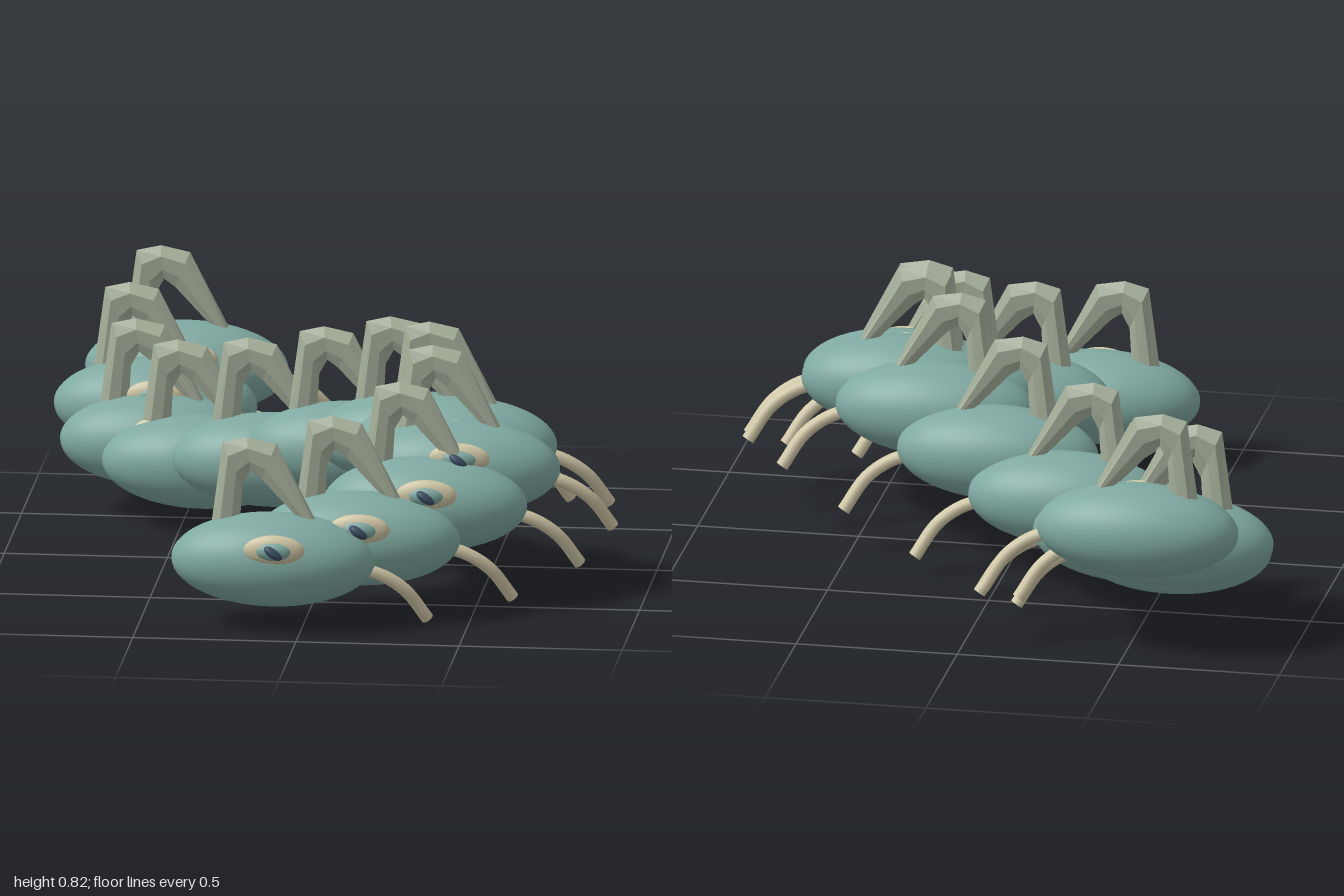
import * as THREE from 'three';

const mat = (name, color, side = THREE.FrontSide) => {
  const m = new THREE.MeshStandardMaterial({ color, side });
  m.name = name;
  return m;
};

// Folded arch: outer and inner edges joined by six-sided cross-sections
function archGeometry() {
  const outer = [[-0.195, 0.07], [-0.155, 0.362], [-0.08, 0.38], [0.01, 0.362], [0.155, 0.08]];
  const inner = [[-0.105, 0.07], [-0.095, 0.23], [-0.07, 0.275], [-0.035, 0.25], [0.125, 0.08]];
  const section = [[0, 0], [0.3, 1], [0.7, 0.8], [1, 0], [0.7, -0.8], [0.3, -1]];
  const pos = [], index = [], n = section.length;
  outer.forEach(([ox, oy], i) => {
    const [ix, iy] = inner[i];
    const shift = -0.012 + 0.004 * i;
    for (const [k, s] of section) {
      pos.push(ox + (ix - ox) * k, oy + (iy - oy) * k, shift + s * 0.019);
    }
    if (i === 0) return;
    for (let j = 0; j < n; j++) {
      const a = (i - 1) * n + j, b = (i - 1) * n + (j + 1) % n;
      index.push(a, b, b + n, a, b + n, a + n);
    }
  });
  const g = new THREE.BufferGeometry();
  g.setAttribute('position', new THREE.Float32BufferAttribute(pos, 3));
  g.setIndex(index);
  const flat = g.toNonIndexed();
  flat.computeVertexNormals();
  return flat;
}

export function createModel() {
  const model = new THREE.Group();
  model.name = 'segmentedCreature';
  const teal = mat('body teal', 0x7fa9a1);
  const tan = mat('leg tan', 0xd0c7a6);
  const sage = mat('arch sage', 0xa9b39e, THREE.DoubleSide);
  const navy = mat('pupil navy', 0x3b4e63);

  const ball = new THREE.SphereGeometry(1, 40, 28);
  const smallBall = new THREE.SphereGeometry(1, 24, 16);
  const arch = archGeometry();
  const legPath = new THREE.CatmullRomCurve3([
    [0.22, -0.015, 0], [0.32, -0.04, -0.012], [0.4, -0.095, -0.035], [0.465, -0.193, -0.076],
  ].map((p) => new THREE.Vector3(...p)));
  const legTube = new THREE.TubeGeometry(legPath, 16, 0.02, 10);
  const legEnd = new THREE.CircleGeometry(0.02, 10);

  const add = (parent, name, geometry, material, p = [0, 0, 0], s = [1, 1, 1]) => {
    const m = new THREE.Mesh(geometry, material);
    m.name = name;
    m.position.set(...p);
    m.scale.set(...s);
    parent.add(m);
    return m;
  };

  // Segment centres (x, y), front to back
  const centres = [
    [-0.09, 0.215], [0.155, 0.25], [0.345, 0.325], [0.43, 0.405], [0.405, 0.44], [0.27, 0.415],
    [0.05, 0.34], [-0.2, 0.26], [-0.43, 0.21], [-0.575, 0.235], [-0.61, 0.31], [-0.53, 0.39],
  ];
  centres.forEach(([x, y], i) => {
    const seg = new THREE.Group();
    seg.name = 'segment' + (i + 1);
    seg.position.set(x, y, 0.81 - i * 0.1505);
    model.add(seg);

    add(seg, 'body', ball, teal, [0, 0, 0], [0.312, 0.144, 0.157]);
    add(seg, 'backArch', arch, sage);

    // Eye of three nested flattened discs
    add(seg, 'eyeRim', smallBall, tan, [0.018, 0.062, 0.14], [0.093, 0.047, 0.026]);
    add(seg, 'iris', smallBall, teal, [0.018, 0.062, 0.154], [0.056, 0.029, 0.022]);
    const pupil = add(seg, 'pupil', smallBall, navy, [0.018, 0.06, 0.17], [0.032, 0.015, 0.02]);
    pupil.rotation.z = -0.6;

    // Curved leg on the left side with a closed tip
    add(seg, 'leg', legTube, tan);
    const tip = legPath.getPoint(1);
    const end = add(seg, 'legTip', legEnd, tan, tip.toArray());
    end.quaternion.setFromUnitVectors(new THREE.Vector3(0, 0, 1), legPath.getTangent(1));
  });
  return model;
}
